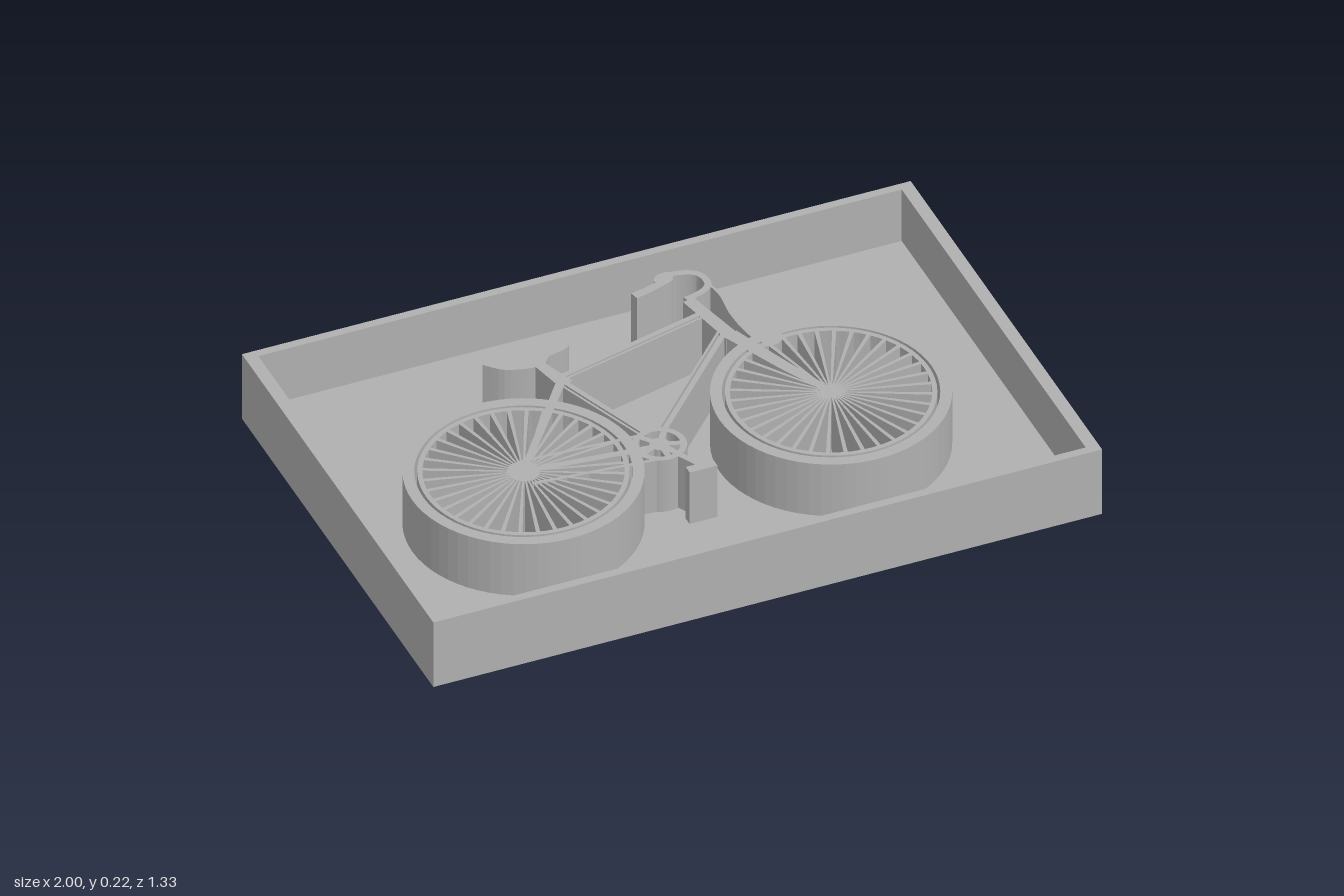
import * as THREE from 'three';

const FLOOR = 0.045, TOP = 0.222;
const grey = new THREE.MeshStandardMaterial({ color: 0xb0b0b0 });
grey.name = 'plain grey';

// Extrude a plan shape (drawn in x, -z) upwards between two heights
function slab(name, shape, y0 = FLOOR - 0.005, y1 = TOP) {
  const geo = new THREE.ExtrudeGeometry(shape, { depth: y1 - y0, bevelEnabled: false, curveSegments: 32 });
  geo.rotateX(-Math.PI / 2);
  geo.translate(0, y0, 0);
  const mesh = new THREE.Mesh(geo, grey);
  mesh.name = name;
  return mesh;
}

const plan = (pts) => pts.map(([x, z]) => new THREE.Vector2(x, -z));

function rect(w, d) {
  return new THREE.Shape(plan([[-w / 2, d / 2], [w / 2, d / 2], [w / 2, -d / 2], [-w / 2, -d / 2]]));
}

function ring(x, z, outer, inner) {
  const s = new THREE.Shape().absarc(x, -z, outer, 0, Math.PI * 2);
  if (inner) s.holes.push(new THREE.Path().absarc(x, -z, inner, 0, Math.PI * 2, true));
  return s;
}

// Band of tapering width following a straight or curved centre line
function band(pts, w0, w1 = w0) {
  const p = plan(pts);
  const curve = p.length === 2 ? new THREE.LineCurve(p[0], p[1]) : new THREE.SplineCurve(p);
  const n = p.length === 2 ? 1 : p.length * 5;
  const left = [], right = [];
  for (let i = 0; i <= n; i++) {
    const t = i / n, c = curve.getPoint(t), d = curve.getTangent(t);
    const h = (w0 + (w1 - w0) * t) / 2;
    left.push(new THREE.Vector2(c.x - d.y * h, c.y + d.x * h));
    right.unshift(new THREE.Vector2(c.x + d.y * h, c.y - d.x * h));
  }
  return new THREE.Shape([...left, ...right]);
}

function blob(pts) {
  const p = plan(pts);
  return new THREE.Shape(new THREE.SplineCurve([...p, p[0]]).getPoints(pts.length * 4).slice(0, -1));
}

function makeTray() {
  const tray = new THREE.Group();
  tray.name = 'tray';
  const wall = rect(2, 1.332);
  wall.holes.push(rect(1.924, 1.28));
  tray.add(slab('trayWall', wall, 0, TOP));
  tray.add(slab('trayFloor', rect(1.924, 1.28), 0, FLOOR));
  return tray;
}

function makeWheel(name, x, z, hub) {
  const wheel = new THREE.Group();
  wheel.name = name;
  wheel.add(slab('tyre', ring(x, z, 0.333, 0.3)));
  wheel.add(slab('rim', ring(x, z, 0.292, 0.278)));
  wheel.add(slab('hub', ring(x, z, hub)));
  const count = 36;
  for (let i = 0; i < count; i++) {
    const a = ((i + 0.5) / count) * Math.PI * 2, c = Math.cos(a), s = Math.sin(a);
    const r0 = hub * 0.8;
    wheel.add(slab('spoke', band([[x + c * r0, z + s * r0], [x + c * 0.282, z + s * 0.282]], 0.005, 0.012)));
  }
  return wheel;
}

// Tube drawn as a thick bar and a thin bar with a slit between them
function slitTube(name, a, b, side) {
  const dx = b[0] - a[0], dz = b[1] - a[1], l = Math.hypot(dx, dz);
  const off = (k) => [a, b].map(([x, z]) => [x - (dz / l) * k * side, z + (dx / l) * k * side]);
  const g = new THREE.Group();
  g.name = name;
  g.add(slab('tubeBar', band(off(-0.006), 0.016)));
  g.add(slab('tubeEdge', band(off(0.011), 0.007)));
  return g;
}

function makeFrame() {
  const frame = new THREE.Group();
  frame.name = 'frame';
  const add = (name, pts, w0, w1) => frame.add(slab(name, band(pts, w0, w1)));
  frame.add(slitTube('topTube', [-0.24, -0.22], [0.235, -0.335], 1));
  frame.add(slitTube('downTube', [0.255, -0.24], [-0.075, 0.105], 1));
  frame.add(slitTube('seatTube', [-0.25, -0.22], [-0.125, 0.11], 1));
  add('seatPost', [[-0.27, -0.31], [-0.235, -0.19]], 0.03, 0.045);
  add('seatStay', [[-0.24, -0.21], [-0.5, 0.13]], 0.026, 0.02);
  add('chainStay', [[-0.5, 0.13], [-0.12, 0.17]], 0.022);
  add('upperChain', [[-0.5, 0.085], [-0.15, 0.105]], 0.01);
  add('lowerChain', [[-0.5, 0.19], [-0.14, 0.225]], 0.01);
  add('headTube', [[0.225, -0.41], [0.27, -0.21]], 0.036, 0.042);
  add('fork', [[0.27, -0.22], [0.345, -0.04], [0.39, 0.06], [0.42, 0.13]], 0.045, 0.02);
  add('brakeCable', [[0.3, -0.47], [0.315, -0.4], [0.308, -0.3], [0.318, -0.2], [0.345, -0.14]], 0.008);
  frame.add(slab('brake', blob([[0.33, -0.13], [0.36, -0.19], [0.4, -0.165], [0.375, -0.13]])));
  return frame;
}

function makeSaddle() {
  return slab('saddle', blob([[-0.412, -0.36], [-0.395, -0.382], [-0.33, -0.384], [-0.26, -0.366], [-0.17, -0.376],
    [-0.155, -0.355], [-0.18, -0.335], [-0.225, -0.325], [-0.255, -0.297], [-0.3, -0.295], [-0.365, -0.315]]));
}

function makeHandlebar() {
  const g = new THREE.Group();
  g.name = 'handlebar';
  g.add(slab('bar', band([[0.18, -0.53], [0.24, -0.535], [0.295, -0.51], [0.305, -0.46], [0.275, -0.43], [0.22, -0.415]], 0.02)));
  g.add(slab('grip', band([[0.095, -0.485], [0.14, -0.495], [0.205, -0.515]], 0.028, 0.024)));
  g.add(slab('brakeLever', blob([[0.17, -0.525], [0.19, -0.548], [0.23, -0.545], [0.22, -0.51], [0.19, -0.505]])));
  return g;
}

function makeCrankset(x, z) {
  const g = new THREE.Group();
  g.name = 'crankset';
  g.add(slab('chainring', ring(x, z, 0.076, 0.058)));
  g.add(slab('crankHub', ring(x, z, 0.028)));
  for (let i = 0; i < 5; i++) {
    const a = (i / 5) * Math.PI * 2 + 0.3;
    g.add(slab('chainringArm', band([[x, z], [x + Math.cos(a) * 0.064, z + Math.sin(a) * 0.064]], 0.018)));
  }
  g.add(slab('crankArm', band([[x, z], [-0.04, 0.3]], 0.022, 0.016)));
  g.add(slab('pedal', band([[-0.083, 0.302], [0, 0.302]], 0.028)));
  return g;
}

export function createModel() {
  const model = new THREE.Group();
  model.name = 'bicycleTray';
  model.add(makeTray());
  const bike = new THREE.Group();
  bike.name = 'bicycle';
  bike.add(makeWheel('rearWheel', -0.5, 0.13, 0.045), makeWheel('frontWheel', 0.42, 0.13, 0.028));
  bike.add(makeFrame(), makeSaddle(), makeHandlebar(), makeCrankset(-0.107, 0.163));
  model.add(bike);
  return model;
}
